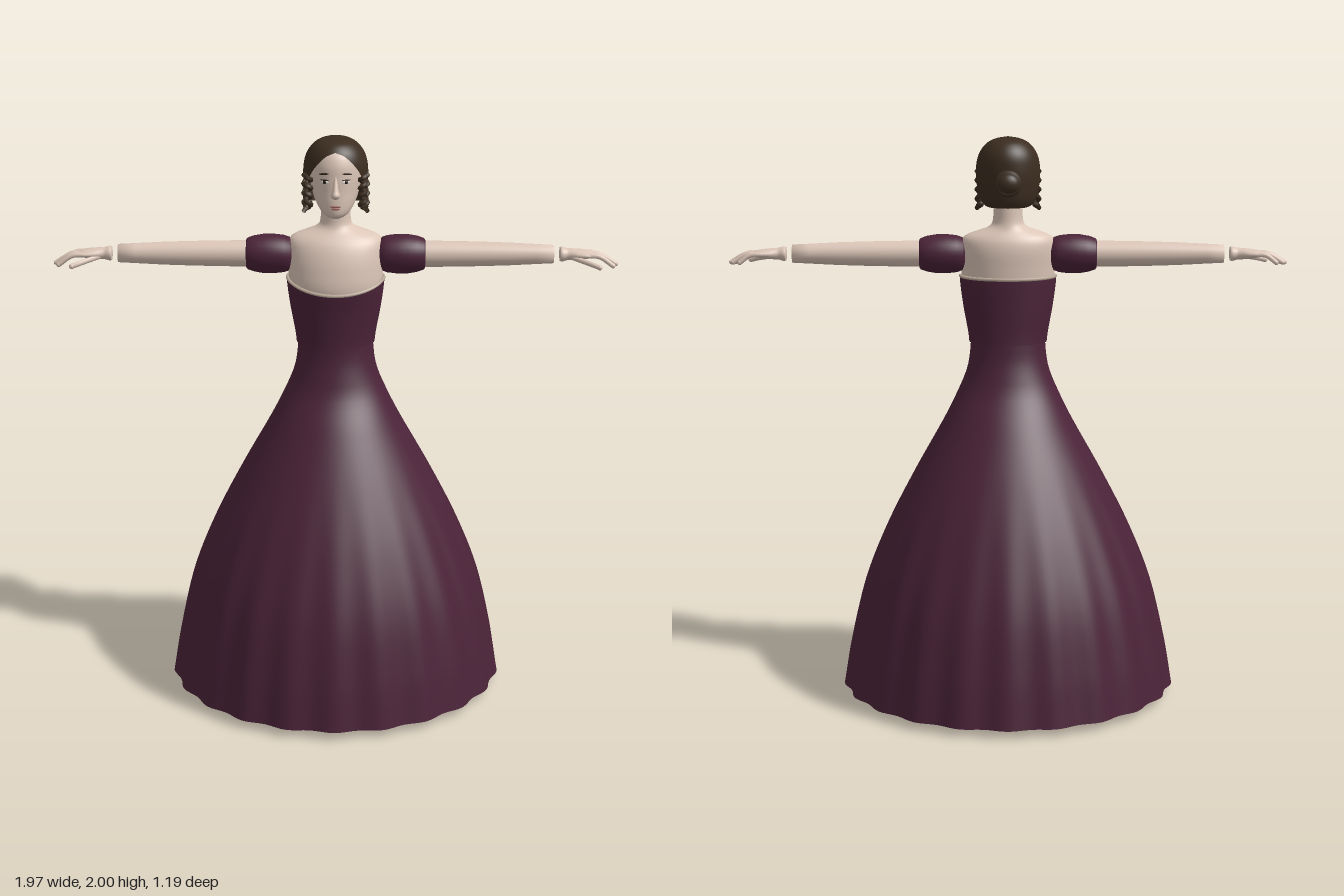
import * as THREE from 'three';
import { mergeGeometries } from 'three/addons/utils/BufferGeometryUtils.js';

const paint = (name, color, side = THREE.FrontSide) =>
  Object.assign(new THREE.MeshStandardMaterial({ color, side }), { name });

// Smooth value of a table of [key, ...values] rows at a key
function sample(rows, key) {
  const n = rows.length;
  const k = THREE.MathUtils.clamp(key, rows[0][0], rows[n - 1][0]);
  let i = 0;
  while (i < n - 2 && k > rows[i + 1][0]) i++;
  const h = rows[i + 1][0] - rows[i][0], t = (k - rows[i][0]) / h;
  const slope = (j, c) => {
    const a = rows[Math.max(j - 1, 0)], b = rows[Math.min(j + 1, n - 1)];
    return (b[c] - a[c]) / (b[0] - a[0]);
  };
  return rows[0].slice(1).map((_, m) => {
    const c = m + 1, p = rows[i][c], q = rows[i + 1][c], t2 = t * t, t3 = t2 * t;
    return (2 * t3 - 3 * t2 + 1) * p + (t3 - 2 * t2 + t) * h * slope(i, c)
      + (3 * t2 - 2 * t3) * q + (t3 - t2) * h * slope(i + 1, c);
  });
}

// Point on an elliptical section; rows are [y, radiusX, centreZ, radiusZ]
function onRing(rows, a, y, grow = 1) {
  const [rx, cz, rz] = sample(rows, y);
  return [Math.sin(a) * rx * grow, y, cz + Math.cos(a) * rz * grow];
}

// Closed band of quads from point(angle, t)
function surface(point, around, up) {
  const pos = [], index = [];
  for (let j = 0; j <= up; j++)
    for (let i = 0; i < around; i++) pos.push(...point((i / around) * Math.PI * 2, j / up));
  for (let j = 0; j < up; j++)
    for (let i = 0; i < around; i++) {
      const a = j * around + i, b = j * around + ((i + 1) % around);
      index.push(a, b, b + around, a, b + around, a + around);
    }
  const g = new THREE.BufferGeometry();
  g.setAttribute('position', new THREE.Float32BufferAttribute(pos, 3));
  g.setIndex(index);
  g.computeVertexNormals();
  return g;
}
const loft = (rows, around = 40, up = 30) => surface(
  (a, t) => onRing(rows, a, THREE.MathUtils.lerp(rows[0][0], rows[rows.length - 1][0], t)), around, up);

const ball = (x, y, z, rx, ry = rx, rz = rx) =>
  new THREE.SphereGeometry(1, 20, 14).scale(rx, ry, rz).translate(x, y, z);
const tube = (pts, r, n = 12, sides = 8, closed = false) =>
  new THREE.TubeGeometry(new THREE.CatmullRomCurve3(pts.map(p => new THREE.Vector3(...p)), closed), n, r, sides, closed);

// Joins pieces after dropping uvs, which the lofted ones do not have
const join = parts => mergeGeometries(parts.map(g => g.deleteAttribute('uv')));

function mirrored(geo) {
  const g = geo.clone().scale(-1, 1, 1), ix = g.index.array;
  for (let i = 0; i < ix.length; i += 3) [ix[i], ix[i + 1]] = [ix[i + 1], ix[i]];
  return g;
}

const SKIRT = [[0.03, 0.592, 0, 0.588], [0.2, 0.563, 0, 0.56], [0.4, 0.515, 0, 0.512], [0.6, 0.437, 0, 0.435],
  [0.8, 0.337, 0, 0.337], [1.0, 0.226, 0.002, 0.222], [1.1, 0.177, 0.004, 0.155], [1.17, 0.148, 0.006, 0.13],
  [1.22, 0.137, 0.007, 0.117], [1.3, 0.13, 0.008, 0.109]];
const BODICE = [[1.17, 0.152, 0.006, 0.134], [1.22, 0.142, 0.007, 0.122], [1.28, 0.138, 0.009, 0.115],
  [1.4, 0.158, 0.013, 0.119], [1.48, 0.169, 0.018, 0.125], [1.53, 0.172, 0.018, 0.125]];
const TORSO = [[1.4, 0.145, 0.013, 0.105], [1.48, 0.162, 0.018, 0.117], [1.55, 0.166, 0.013, 0.115],
  [1.6, 0.167, 0.006, 0.109], [1.635, 0.163, 0.001, 0.098], [1.655, 0.148, -0.002, 0.085],
  [1.67, 0.108, -0.004, 0.072], [1.685, 0.066, -0.006, 0.063], [1.71, 0.053, -0.006, 0.058], [1.8, 0.05, -0.004, 0.057]];
const HEAD = [[1.728, 0.012, 0.07, 0.014], [1.737, 0.034, 0.06, 0.042], [1.755, 0.053, 0.045, 0.064],
  [1.785, 0.07, 0.026, 0.084], [1.82, 0.082, 0.01, 0.098], [1.87, 0.092, 0, 0.107],
  [1.92, 0.092, -0.009, 0.111], [1.96, 0.076, -0.01, 0.088], [1.985, 0.03, -0.01, 0.035]];
const HAIR = [[1.75, 0.07, -0.045, 0.055], [1.78, 0.095, -0.03, 0.087], [1.83, 0.109, -0.015, 0.11],
  [1.89, 0.112, -0.01, 0.118], [1.94, 0.101, -0.01, 0.112], [1.975, 0.075, -0.01, 0.088],
  [1.992, 0.043, -0.012, 0.053], [2.0, 0.001, -0.012, 0.001]];
const HAIRLINE = [[0, 1.96], [0.35, 1.945], [0.7, 1.905], [1.0, 1.855], [1.25, 1.8], [1.7, 1.765], [3.15, 1.757]];
const NOSE = [[1.801, 0.003, 0.108, 0.004], [1.806, 0.013, 0.108, 0.017], [1.817, 0.016, 0.11, 0.026],
  [1.832, 0.011, 0.107, 0.021], [1.86, 0.008, 0.102, 0.012], [1.89, 0.004, 0.096, 0.008]];

export function createModel() {
  const skin = paint('skin', 0xdcc6b8), dress = paint('dress plum', 0x4b2338, THREE.DoubleSide);
  const brown = paint('hair brown', 0x3c2d20, THREE.DoubleSide), dark = paint('shoe black', 0x2a2426);
  const lace = paint('trim beige', 0xbcaa9a), lip = paint('lip rose', 0xa86f68);
  const white = paint('eye white', 0xe8e2da), iris = paint('eye dark', 0x2b1f1a);
  const model = new THREE.Group();
  model.name = 'womanInGown';
  const add = (name, geo, mat) => {
    const m = new THREE.Mesh(geo, mat);
    m.name = name;
    model.add(m);
  };
  const pair = (name, geo, mat) => {
    add('left' + name, geo, mat);
    add('right' + name, mirrored(geo), mat);
  };

  // Gown: pleats fade out towards the waist
  const fold = (a, y) => 1 + 0.012 * Math.cos(22 * a) * (1 - THREE.MathUtils.smoothstep(y, 0.1, 0.95));
  add('skirt', surface((a, t) => {
    const y = 0.03 + 1.27 * t;
    return onRing(SKIRT, a, y, fold(a, y));
  }, 176, 48), dress);
  add('skirtBase', surface((a, t) => onRing(SKIRT, a, 0.03, fold(a, 0.03) * Math.max(t, 0.001)), 176, 2), dress);

  // Bodice with a pointed front waist and a dipped neckline
  const neckline = a => 1.508 - 0.04 * Math.max(0, Math.cos(a)) ** 1.5;
  const waist = a => 1.275 - (Math.cos(a) > 0 ? 0.085 * Math.max(0, 1 - Math.abs(Math.sin(a)) / 0.65) : 0);
  add('bodice', surface((a, t) =>
    onRing(BODICE, a, THREE.MathUtils.lerp(waist(a), neckline(a), t)), 96, 24), dress);
  const edge = Array.from({ length: 32 }, (_, i) => {
    const a = (i / 32) * Math.PI * 2;
    return onRing(BODICE, a, neckline(a), 0.985);
  });
  add('necklineTrim', tube(edge, 0.006, 96, 6, true), lace);

  // Body and head
  add('shouldersAndNeck', loft(TORSO, 48, 40), skin);
  add('head', loft(HEAD, 48, 36), skin);
  add('nose', loft(NOSE, 16, 16), skin);

  // Face details: thin discs laid on the face
  const disc = (x, y, w, h, lift = 0, roll = 0) => {
    const [rx, cz, rz] = sample(HEAD, y), c = Math.sqrt(1 - (x / rx) ** 2);
    return new THREE.SphereGeometry(1, 16, 8).scale(w, h, 0.003).rotateZ(roll)
      .rotateY(Math.atan2(x / (rx * rx), c / rz)).translate(x, y, cz + rz * c + lift);
  };
  pair('Eye', disc(0.037, 1.86, 0.015, 0.0065), white);
  pair('Iris', disc(0.037, 1.86, 0.0065, 0.0065, 0.0015), iris);
  pair('Eyelid', disc(0.037, 1.867, 0.017, 0.0025, 0.001), iris);
  pair('Eyebrow', disc(0.04, 1.888, 0.02, 0.0035, 0.001, -0.12), brown);
  add('upperLip', disc(0, 1.777, 0.02, 0.004, 0.001), lip);
  add('lowerLip', disc(0, 1.769, 0.015, 0.005, 0.001), lip);

  // Hair swept from a centre parting, with a bun and ringlets
  add('hair', surface((a, t) => {
    const low = sample(HAIRLINE, Math.min(a, Math.PI * 2 - a))[0];
    return onRing(HAIR, a, low + (2 - low) * Math.sin(t * Math.PI / 2));
  }, 64, 28), brown);
  add('bun', join([ball(0, 1.845, -0.128, 0.04, 0.036, 0.027),
    new THREE.TorusGeometry(0.034, 0.013, 10, 28).translate(0, 1.845, -0.126)]), brown);
  const ringlets = [[0.093, 0.062, 1.76], [0.101, 0.036, 1.745], [0.097, 0.01, 1.755]].map(([x, z, low]) => {
    const pts = Array.from({ length: 33 }, (_, i) => {
      const a = (i / 32) * Math.PI * 8;
      return [x + 0.009 * Math.cos(a), 1.875 - (1.875 - low) * i / 32, z + 0.009 * Math.sin(a)];
    });
    return tube(pts, 0.0085, 80, 6);
  });
  pair('Ringlets', join(ringlets), brown);

  // Arms: turned profiles laid along x
  const turned = pts => new THREE.LatheGeometry(pts.map(([x, r]) => new THREE.Vector2(r, x)), 32)
    .rotateZ(-Math.PI / 2).translate(0, 1.587, 0.004);
  pair('Sleeve', turned([[0.15, 0.045], [0.16, 0.058], [0.18, 0.065], [0.215, 0.069], [0.25, 0.069],
    [0.285, 0.063], [0.308, 0.055], [0.312, 0.049], [0.305, 0.042]]), dress);
  pair('Arm', turned([[0.2, 0.046], [0.31, 0.046], [0.4, 0.045], [0.5, 0.043], [0.6, 0.04], [0.7, 0.035],
    [0.76, 0.032], [0.76, 0]]), skin);

  // Hands: flat palm, four drooping fingers and a thumb
  const palm = loft([[0.779, 0.001, 0.004, 0.001], [0.78, 0.023, 0.004, 0.026], [0.81, 0.021, 0.004, 0.025],
    [0.845, 0.018, 0.004, 0.036], [0.88, 0.013, 0.004, 0.041], [0.905, 0.005, 0.004, 0.034]], 24, 40)
    .rotateZ(-Math.PI / 2).translate(0, 1.587, 0);
  const parts = [palm];
  const digit = (pts, r) => parts.push(tube(pts, r, 10), ball(...pts[pts.length - 1], r));
  [[-0.028, 0.942], [-0.008, 0.967], [0.014, 0.977], [0.035, 0.965]].forEach(([z, tip], i) => {
    const mid = (0.87 + tip) / 2;
    digit([[0.87, 1.587, z], [mid, 1.585, z * 1.05], [tip, 1.56 - 0.002 * i, z * 1.15]], 0.0085);
  });
  digit([[0.82, 1.58, 0.018], [0.865, 1.57, 0.048], [0.895, 1.563, 0.068], [0.915, 1.557, 0.077]], 0.0095);
  pair('Hand', join(parts), skin);

  // Shoes just below the hem
  pair('Shoe', join([ball(0.103, 0.025, 0.13, 0.05, 0.025, 0.07), ball(0.103, 0.025, 0.005, 0.043, 0.025, 0.05),
    new THREE.CylinderGeometry(0.042, 0.042, 0.13, 20).rotateX(Math.PI / 2).scale(1, 0.58, 1).translate(0.103, 0.025, 0.065)]), dark);
  return model;
}
